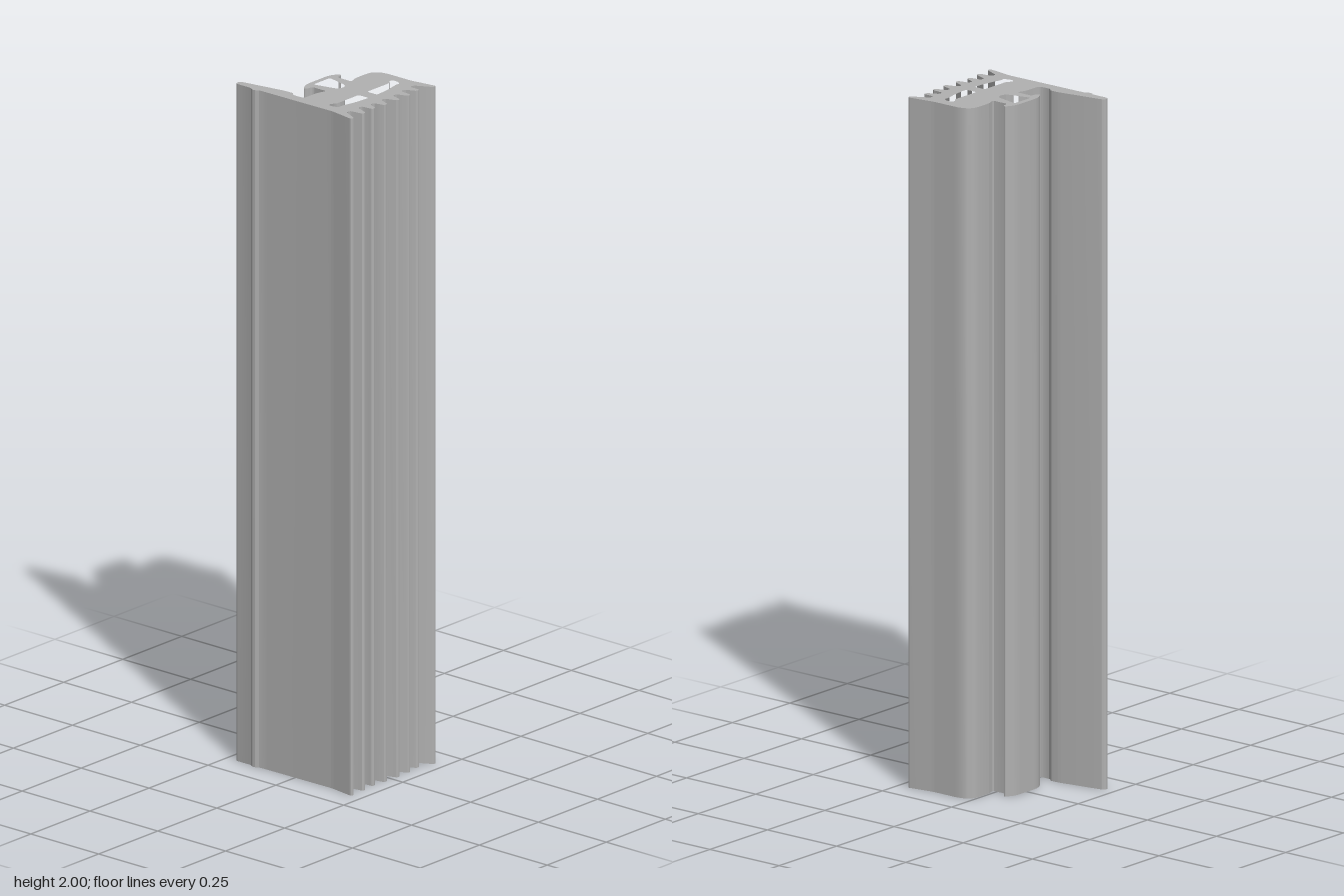
import * as THREE from 'three';
import { toCreasedNormals } from 'three/addons/utils/BufferGeometryUtils.js';

const LENGTH = 2;

// Closed path through [x, z, cornerRadius] points, with rounded corners
function roundedPath(points, path) {
  const corners = points.map(([x, z]) => new THREE.Vector2(x, -z));
  const n = corners.length;
  corners.forEach((c, i) => {
    const before = corners[(i + n - 1) % n], after = corners[(i + 1) % n];
    const r = points[i][2] || 0;
    const cut = (to) => {
      const d = c.distanceTo(to);
      return c.clone().lerp(to, Math.min(r / d, 0.49));
    };
    const a = cut(before), b = cut(after);
    if (i === 0) path.moveTo(a.x, a.y);
    else path.lineTo(a.x, a.y);
    if (r > 0) path.quadraticCurveTo(c.x, c.y, b.x, b.y);
  });
  path.closePath();
  return path;
}

const mirror = (points) => points.map(([x, z, r]) => [-x, z, r]).reverse();

export function createModel() {
  const rubber = new THREE.MeshStandardMaterial({ color: 0xb0b0b0 });
  rubber.name = 'grey rubber';

  // Tall side lip with its retaining bump
  const lip = [
    [-0.169, 0.0], [-0.170, -0.10], [-0.171, -0.131, 0.004],
    [-0.178, -0.139, 0.005], [-0.178, -0.152, 0.005], [-0.171, -0.160, 0.004],
    [-0.171, -0.219, 0.013], [-0.151, -0.219, 0.013],
    [-0.126, -0.072, 0.01], [-0.126, -0.044, 0.006],
    [-0.137, -0.036, 0.008], [-0.137, 0.004, 0.013],
  ];

  // Half of the mushroom-shaped clip, from the shoulder to its crown
  const clipHalf = [
    [-0.081, 0.005, 0.008], [-0.060, 0.012, 0.005], [-0.053, 0.012, 0.005],
    [-0.053, -0.038, 0.009], [-0.071, -0.039, 0.005], [-0.078, -0.048, 0.006],
    [-0.050, -0.065, 0.02],
  ];

  // Rounded shoulder and flared right leg
  const rightSide = [
    [0.167, 0.005, 0.055], [0.167, 0.135, 0.01],
    [0.180, 0.217, 0.008], [0.168, 0.217, 0.007],
  ];

  // Gripping teeth: alternating valleys and tips, right to left
  const teeth = [];
  [
    [0.134, 0.167], [0.120, 0.203], [0.091, 0.171], [0.073, 0.211],
    [0.048, 0.178], [0.025, 0.213], [0, 0.177], [-0.027, 0.212],
    [-0.048, 0.178], [-0.073, 0.208], [-0.091, 0.171], [-0.120, 0.213],
    [-0.140, 0.171],
  ].forEach(([x, z], i) => {
    const half = i % 2 ? 0.0065 : 0.0075;
    teeth.push([x + half, z, 0.007], [x - half, z, 0.007]);
  });

  // Flared left leg
  const leftSide = [[-0.168, 0.217, 0.007], [-0.180, 0.217, 0.008], [-0.167, 0.135, 0.01]];

  const section = roundedPath(
    [...lip, ...clipHalf, ...mirror(clipHalf), ...rightSide, ...teeth, ...leftSide],
    new THREE.Shape(),
  );

  // Hollow of the clip and the two long cushion chambers
  const clipHollow = [
    [-0.035, -0.049, 0.007], [0.035, -0.049, 0.007],
    [0.017, 0.029, 0.017], [-0.017, 0.029, 0.017],
  ];
  const chamber = [
    [-0.134, 0.093, 0.012], [-0.122, 0.093, 0.008], [-0.113, 0.103, 0.008],
    [-0.018, 0.103, 0.006], [-0.018, 0.139, 0.006], [-0.045, 0.138, 0.02],
    [-0.082, 0.133, 0.02], [-0.116, 0.125, 0.006], [-0.128, 0.128, 0.008],
    [-0.137, 0.110, 0.01],
  ];
  for (const hole of [clipHollow, chamber, mirror(chamber)]) {
    section.holes.push(roundedPath(hole, new THREE.Path()));
  }

  // Extrude the cross-section and stand it upright
  const geometry = new THREE.ExtrudeGeometry(section, {
    depth: LENGTH, bevelEnabled: false, curveSegments: 8,
  });
  geometry.rotateX(-Math.PI / 2);

  const strip = new THREE.Mesh(toCreasedNormals(geometry, 0.6), rubber);
  strip.name = 'sealStrip';

  const model = new THREE.Group();
  model.name = 'sealProfile';
  model.add(strip);
  return model;
}
